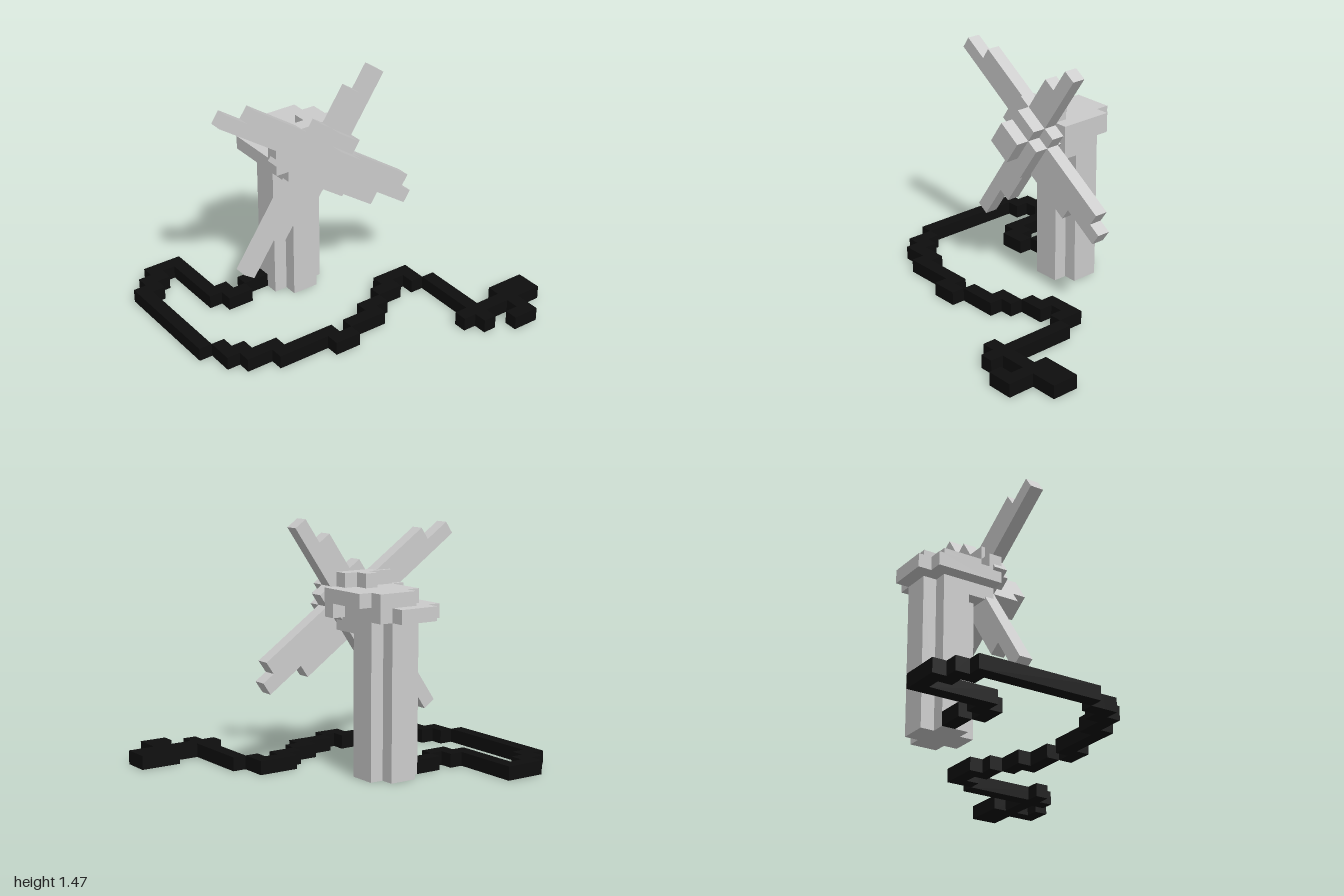
import * as THREE from 'three';

const V = 1 / 12; // block size
const X0 = -0.875, Z0 = -1;

export function createModel() {
  const model = new THREE.Group();
  const grey = new THREE.MeshStandardMaterial({ color: 0xcccccc });
  grey.name = 'light grey';
  const black = new THREE.MeshStandardMaterial({ color: 0x0e0e0e });
  black.name = 'cable black';

  // Box from block-grid ranges (end values exclusive)
  function block(parent, name, mat, i0, i1, j0, j1, k0, k1) {
    const mesh = new THREE.Mesh(
      new THREE.BoxGeometry((i1 - i0) * V, (j1 - j0) * V, (k1 - k0) * V), mat);
    mesh.position.set(X0 + (i0 + i1) / 2 * V, (j0 + j1) / 2 * V, Z0 + (k0 + k1) / 2 * V);
    mesh.name = name;
    parent.add(mesh);
  }

  // Stepped outline extruded by a number of blocks
  function slab(points, depth) {
    const shape = new THREE.Shape(points.map(([a, b]) => new THREE.Vector2(a * V, b * V)));
    return new THREE.ExtrudeGeometry(shape, { depth: depth * V, bevelEnabled: false });
  }

  // Horizontal layer with an (i, k) outline
  function layer(name, points, j, height) {
    const geo = slab(points.map(([i, k]) => [i, -k]), height).rotateX(-Math.PI / 2);
    const mesh = new THREE.Mesh(geo, grey);
    mesh.position.set(X0, j * V, Z0);
    mesh.name = name;
    model.add(mesh);
  }

  // Column: square with notched corners
  layer('column', [[5, 11], [7, 11], [7, 12], [8, 12], [8, 14], [7, 14],
    [7, 15], [5, 15], [5, 14], [4, 14], [4, 12], [5, 12]], 0, 11);

  // Motor head: two offset layers
  layer('headLower', [[4, 11], [9, 11], [9, 15], [8, 15], [8, 16], [4, 16],
    [4, 15], [3, 15], [3, 12], [4, 12]], 11, 1);
  layer('headUpper', [[5, 10], [8, 10], [8, 11], [9, 11], [9, 15], [5, 15],
    [5, 14], [4, 14], [4, 11], [5, 11]], 12, 1);

  // Motor face behind the blades
  const motor = new THREE.Group();
  motor.name = 'motorFace';
  block(motor, 'motorCore', grey, 7, 9, 10, 13, 11, 15);
  block(motor, 'motorSides', grey, 8, 9, 11, 13, 10, 16);
  block(motor, 'motorTop', grey, 8, 9, 13, 14, 11, 15);
  block(motor, 'motorTopStep', grey, 7, 8, 13, 14, 12, 13);
  model.add(motor);

  // Fan: stepped layers stacked along x, turned about the x axis
  const fan = new THREE.Group();
  fan.name = 'fan';
  const a = THREE.MathUtils.degToRad(34.4), c = Math.cos(a), s = Math.sin(a);
  fan.quaternion.setFromRotationMatrix(new THREE.Matrix4().makeBasis(
    new THREE.Vector3(0, -s, -c), new THREE.Vector3(0, c, -s), new THREE.Vector3(1, 0, 0)));
  fan.position.set(-0.183, 1.348, 0.717);
  const fanLayers = {
    rearBlades: [[0, 0], [6, 0], [6, -1], [8, -1], [8, -9], [9, -9], [9, -6], [10, -6],
      [10, -2], [11, -2], [11, 2], [2, 2], [2, 1], [0, 1]],
    frontBlades: [[7, 0], [8, 0], [8, -1], [15, -1], [15, 0], [18, 0], [18, 1], [17, 1],
      [17, 2], [11, 2], [11, 3], [10, 3], [10, 8], [9, 8], [9, 6], [8, 6], [8, 3], [7, 3]],
    hub: [[8, -1], [11, -1], [11, 2], [10, 2], [10, 3], [8, 3]],
    hubCap: [[8, 0], [10, 0], [10, 2], [8, 2]],
  };
  Object.entries(fanLayers).forEach(([name, points], n) => {
    const mesh = new THREE.Mesh(slab(points, 1), grey);
    mesh.position.z = n * V;
    mesh.name = name;
    fan.add(mesh);
  });
  model.add(fan);

  // Cable and plug on the ground: [i0, i1, k0, k1]
  const cable = new THREE.Group();
  cable.name = 'cable';
  const runs = [
    [17, 19, 0, 3], [19, 21, 2, 3], [20, 21, 3, 4], [18, 19, 3, 5], [18, 19, 6, 7],
    [13, 20, 5, 6], [11, 13, 6, 7], [11, 12, 7, 9], [12, 13, 8, 10], [13, 14, 10, 12],
    [14, 15, 11, 14], [15, 16, 14, 16], [14, 15, 15, 20], [13, 14, 19, 22],
    [12, 13, 21, 23], [11, 12, 22, 23], [2, 11, 23, 24], [1, 2, 21, 23], [2, 3, 22, 23],
    [0, 1, 19, 22], [1, 6, 19, 20], [5, 6, 18, 19], [6, 7, 17, 19], [5, 6, 16, 17],
    [5, 6, 15, 16],
  ];
  runs.forEach(([i0, i1, k0, k1], n) =>
    block(cable, n < 3 ? 'plug' : 'cableRun', black, i0, i1, 0, 1, k0, k1));
  model.add(cable);

  return model;
}
